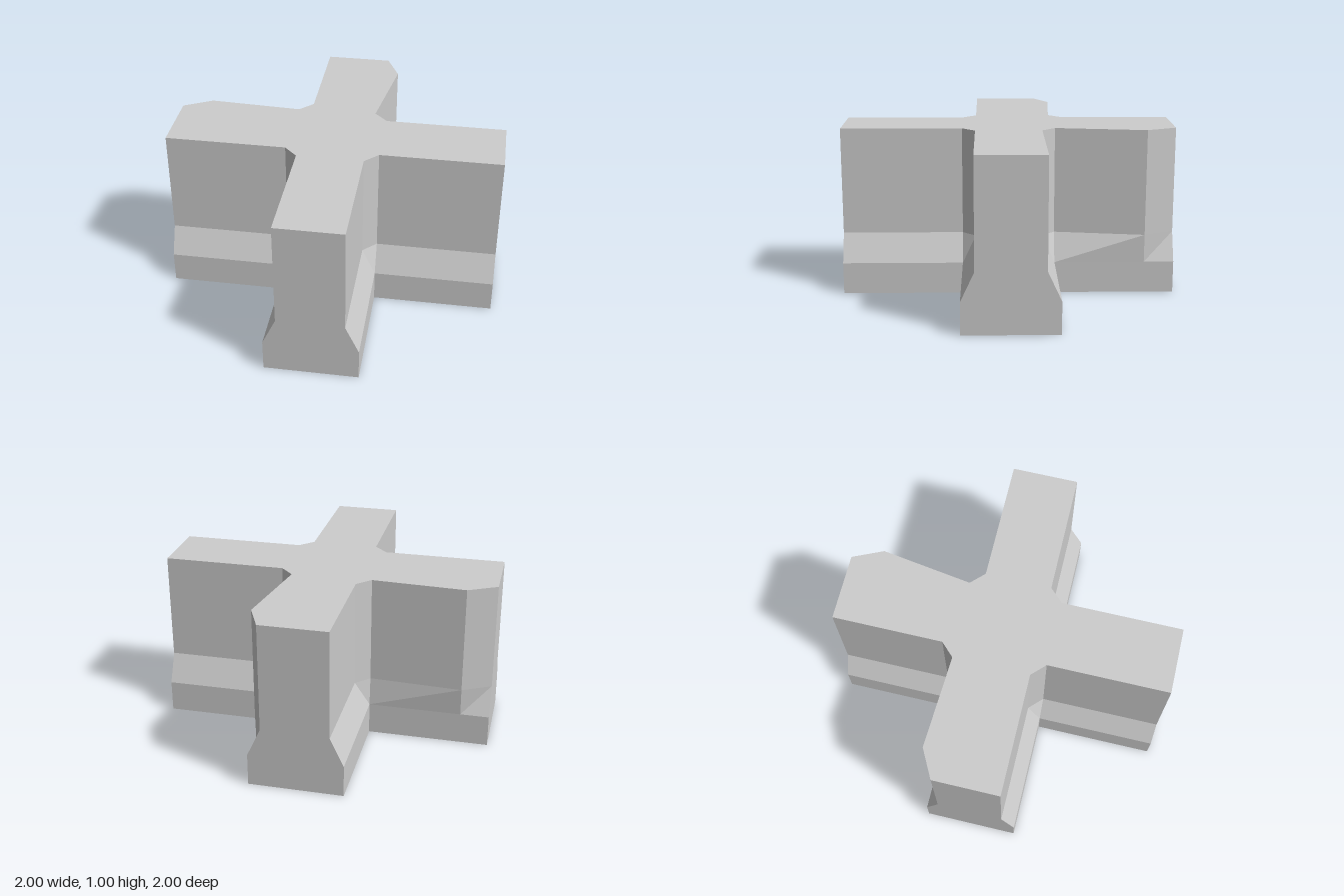
import * as THREE from 'three';

export function createModel() {
  const group = new THREE.Group();
  group.name = 'crossBarrier';
  const concrete = new THREE.MeshStandardMaterial({ color: 0xcccccc });
  concrete.name = 'concrete grey';

  const b = 0.277; // half width of the foot
  const t = 0.198; // half width of the upper wall

  // Matching corners [foot x, foot z, wall x, wall z], counter-clockwise from above
  const corners = [
    // front arm, right inner corner, right arm
    [-b, 1, -t, 1], [b, 1, t, 1], [b, b, t, b], [b, b, b, t], [1, b, 1, t],
    // right arm to back arm, with the flared end of the back arm
    [1, -b, 1, -t], [b, -b, b, -t], [b, -b, t, -b], [b, -0.82, 0.28, -0.82], [b, -1, t, -1],
    // back arm to left arm, with the flared end of the left arm
    [-b, -1, -t, -1], [-b, -b, -t, -0.34], [-b, -b, -b, -0.26],
    [-0.83, -b, -0.83, -0.288], [-1, -b, -1, -t],
    // left arm, left inner corner
    [-1, b, -1, t], [-b, b, -b, t], [-b, b, -t, b],
  ];
  const foot = corners.map(([x, z]) => [x, z]);
  const wall = corners.map(([, , x, z]) => [x, z]);

  function makePart(name, triangles) {
    const geometry = new THREE.BufferGeometry();
    geometry.setAttribute('position', new THREE.Float32BufferAttribute(triangles.flat(), 3));
    geometry.computeVertexNormals();
    const mesh = new THREE.Mesh(geometry, concrete);
    mesh.name = name;
    group.add(mesh);
  }

  // Band of side faces between two outlines
  function band(lower, y0, upper, y1) {
    const out = [];
    lower.forEach((p, i) => {
      const j = (i + 1) % lower.length;
      const a = [p[0], y0, p[1]], c = [lower[j][0], y0, lower[j][1]];
      const d = [upper[j][0], y1, upper[j][1]], e = [upper[i][0], y1, upper[i][1]];
      if (a[0] !== c[0] || a[2] !== c[2]) out.push(a, c, d);
      out.push(a, d, e);
    });
    return out;
  }

  // Flat cap filling an outline
  function cap(outline, y, up) {
    const points = outline.map(([x, z]) => new THREE.Vector2(x, -z));
    return THREE.ShapeUtils.triangulateShape(points, []).flatMap((f) =>
      (up ? f : [...f].reverse()).map((i) => [outline[i][0], y, outline[i][1]]));
  }

  // Foot outline without the doubled inner corners
  const footOutline = foot.filter((p, i) => i === 0 || p[0] !== foot[i - 1][0] || p[1] !== foot[i - 1][1]);

  makePart('foot', [...band(foot, 0, foot, 0.19).filter((_, i) => true), ...cap(footOutline, 0, false)]);
  makePart('slopedShoulder', band(foot, 0.19, wall, 0.36));
  makePart('upperWall', [...band(wall, 0.36, wall, 1), ...cap(wall, 1, true)]);
  return group;
}
